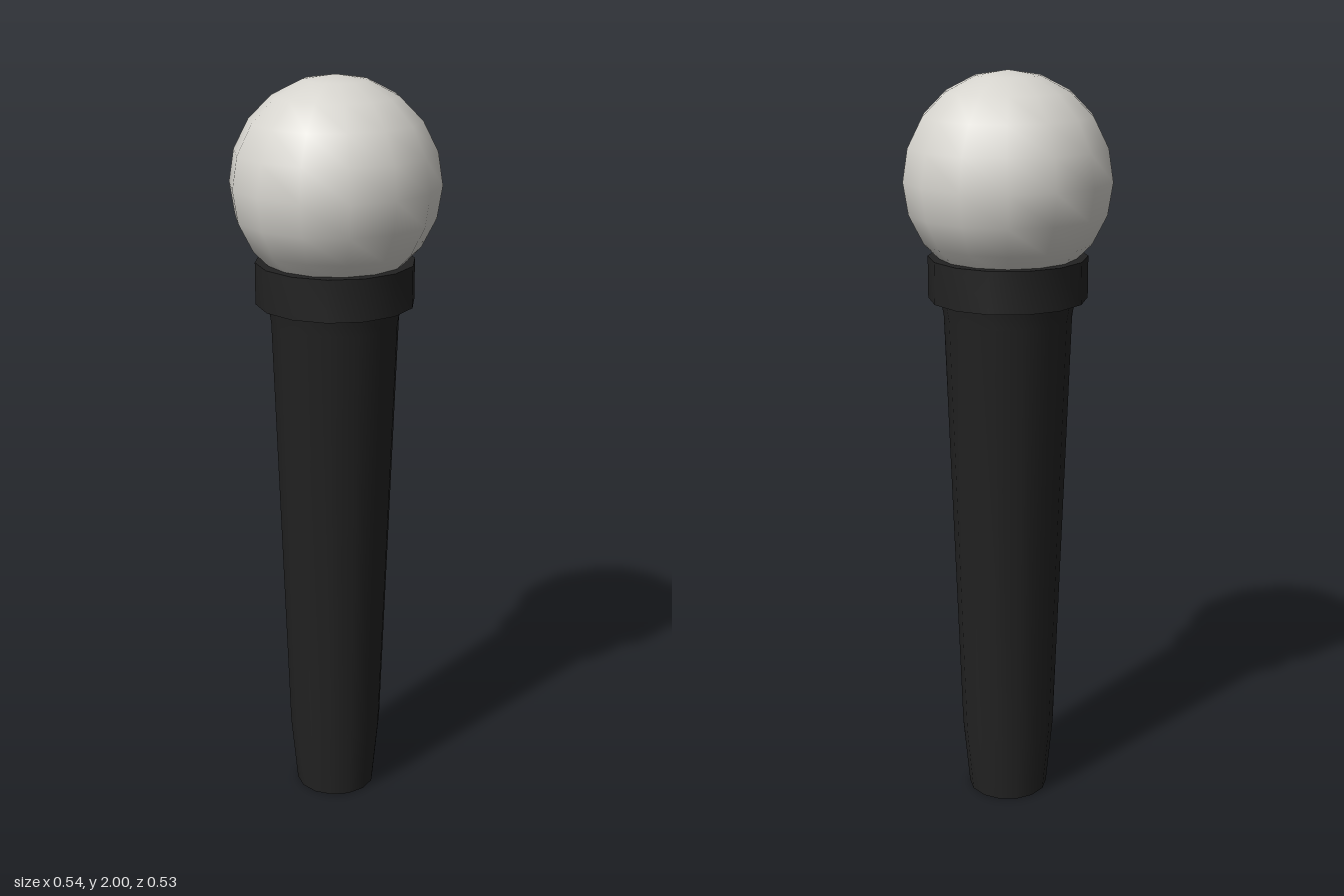
import * as THREE from 'three';
import { toCreasedNormals } from 'three/addons/utils/BufferGeometryUtils.js';

const SIDES = 14;

// Revolved part from [radius, height] pairs, listed bottom to top
function turned(name, profile, material) {
  const points = profile.map(([r, y]) => new THREE.Vector2(r, y));
  const geometry = toCreasedNormals(new THREE.LatheGeometry(points, SIDES), 0.7);
  const mesh = new THREE.Mesh(geometry, material);
  mesh.name = name;
  return mesh;
}

export function createModel() {
  const black = new THREE.MeshStandardMaterial({ color: 0x222222 });
  black.name = 'black';
  const silver = new THREE.MeshStandardMaterial({ color: 0xd6d4ce });
  silver.name = 'silver';

  const model = new THREE.Group();
  model.name = 'microphone';

  // Tapered handle, narrowing at the foot and flaring under the collar
  model.add(turned('handle', [
    [0, 0], [0.109, 0], [0.127, 0.19], [0.168, 1.37], [0.177, 1.425], [0, 1.425],
  ], black));

  // Wide collar holding the head
  model.add(turned('collar', [
    [0, 1.42], [0.208, 1.42], [0.208, 1.53], [0, 1.53],
  ], black));

  // Round head
  const head = new THREE.Mesh(new THREE.SphereGeometry(0.272, SIDES, 10), silver);
  head.name = 'head';
  head.position.y = 1.728;
  model.add(head);

  return model;
}
